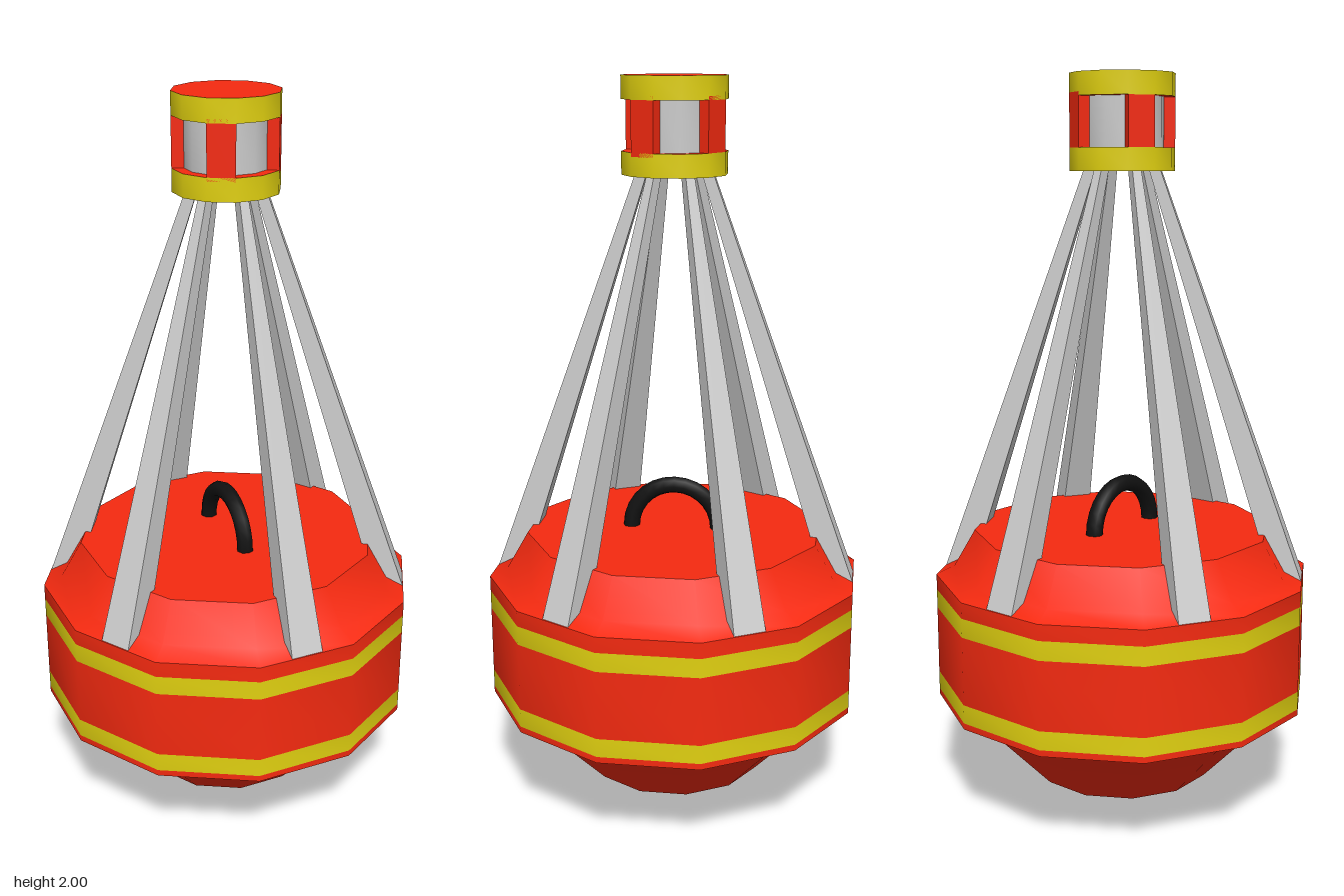
import * as THREE from 'three';
import { toCreasedNormals } from 'three/addons/utils/BufferGeometryUtils.js';

const material = (color) => new THREE.MeshStandardMaterial({ color });
const red = material(0xf52a10);
const yellow = material(0xe0d010);
const grey = material(0xcccccc);
const black = material(0x111111);

const SIDES = 12;
const LEGS = 6;
const LEG_TURN = Math.PI / 12;

function add(parent, name, geometry, mat) {
  const mesh = new THREE.Mesh(geometry, mat);
  mesh.name = name;
  parent.add(mesh);
  return mesh;
}

// Twelve-sided turned part; profile is [radius, y] from bottom to top
function turned(parent, name, profile, mat) {
  const points = profile.map(([r, y]) => new THREE.Vector2(r, y));
  return add(parent, name, toCreasedNormals(new THREE.LatheGeometry(points, SIDES), 0.75), mat);
}

// Tapered, leaning square bar from the float's rim up to the lantern
function legGeometry() {
  const geometry = new THREE.BoxGeometry(1, 1, 1);
  const pos = geometry.attributes.position;
  const { lerp } = THREE.MathUtils;
  for (let i = 0; i < pos.count; i++) {
    const t = pos.getY(i) + 0.5;
    const outer = lerp(0.5, 0.1, t);
    const depth = lerp(0.08, 0.03, t);
    const width = lerp(0.088, 0.024, t);
    pos.setXYZ(i, outer + (pos.getX(i) - 0.5) * depth, lerp(0.652, 1.76, t), pos.getZ(i) * width);
  }
  geometry.computeVertexNormals();
  return geometry;
}

// Corner post of the lantern: one facet of the twelve-sided drum
function postGeometry() {
  const corner = (r, degrees) => {
    const a = THREE.MathUtils.degToRad(degrees);
    return new THREE.Vector2(r * Math.cos(a), r * Math.sin(a));
  };
  const shape = new THREE.Shape([corner(0.14, 30), corner(0.14, 60), corner(0.09, 65), corner(0.09, 25)]);
  const geometry = new THREE.ExtrudeGeometry(shape, { depth: 0.15, bevelEnabled: false });
  return geometry.rotateX(-Math.PI / 2).translate(0, 1.8, 0);
}

export function createModel() {
  const model = new THREE.Group();
  model.name = 'buoy';

  // Float: keel, striped drum and shoulder
  const float = new THREE.Group();
  float.name = 'float';
  model.add(float);
  turned(float, 'keel', [[0, 0], [0.055, 0.003], [0.25, 0.08], [0.445, 0.285], [0.518, 0.305]], red);
  turned(float, 'lowerRim', [[0.518, 0.305], [0.518, 0.322]], red);
  turned(float, 'lowerStripe', [[0.518, 0.322], [0.518, 0.373]], yellow);
  turned(float, 'drumWall', [[0.518, 0.373], [0.518, 0.56]], red);
  turned(float, 'upperStripe', [[0.518, 0.56], [0.518, 0.612]], yellow);
  turned(float, 'upperRim', [[0.518, 0.612], [0.518, 0.655]], red);
  turned(float, 'shoulder', [[0.518, 0.655], [0.468, 0.68], [0.41, 0.78]], red);
  turned(float, 'deck', [[0.41, 0.78], [0, 0.78]], red);

  // Lifting handle
  const handle = add(model, 'handle', new THREE.TorusGeometry(0.122, 0.023, 8, 14, Math.PI), black);
  handle.position.y = 0.78;
  handle.rotation.y = -LEG_TURN;

  // Legs
  const leg = legGeometry();
  for (let i = 0; i < LEGS; i++) {
    add(model, 'leg', leg, grey).rotation.y = -LEG_TURN - (i * 2 * Math.PI) / LEGS;
  }

  // Lantern: two banded discs, inset glass and four posts
  const lantern = new THREE.Group();
  lantern.name = 'lantern';
  model.add(lantern);
  for (const [label, low, high] of [['lower', 1.75, 1.81], ['upper', 1.94, 2]]) {
    turned(lantern, label + 'Band', [[0.14, low], [0.14, high]], yellow);
    turned(lantern, label + 'DiscBottom', [[0, low], [0.14, low]], red);
    turned(lantern, label + 'DiscTop', [[0.14, high], [0, high]], red);
  }
  turned(lantern, 'glass', [[0.11, 1.8], [0.11, 1.95]], grey);
  const post = postGeometry();
  for (let i = 0; i < 4; i++) {
    add(lantern, 'post', post, red).rotation.y = (i * Math.PI) / 2;
  }

  return model;
}
